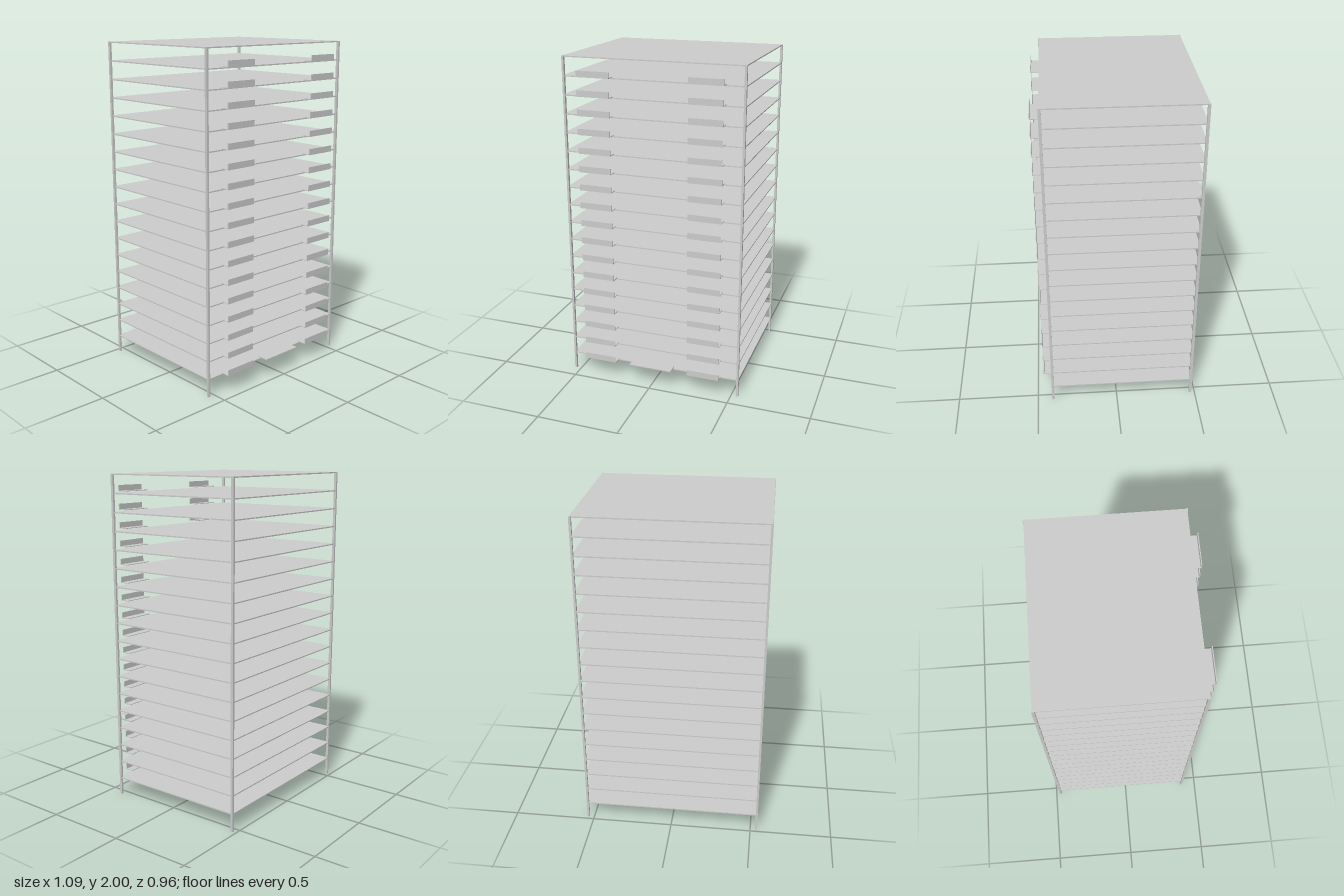
import * as THREE from 'three';

const FLOORS = 18;
const STEP = 2 / FLOORS;
const BACK = -0.477, FRONT = 0.408;

export function createModel() {
  const model = new THREE.Group();
  model.name = 'towerFrame';
  const material = new THREE.MeshStandardMaterial({ color: 0xcccccc, flatShading: true });

  // Box given by its minimum and maximum corners
  function box(name, min, max, parent = model) {
    const size = max.map((v, i) => v - min[i]);
    const mesh = new THREE.Mesh(new THREE.BoxGeometry(...size), material);
    mesh.position.set(...max.map((v, i) => (v + min[i]) / 2));
    mesh.name = name;
    parent.add(mesh);
    return mesh;
  }

  // Corner columns, standing slightly proud of the slabs
  for (const x of [-0.537, 0.537]) {
    for (const z of [-0.472, 0.404]) {
      box('cornerColumn', [x - 0.0065, 0, z - 0.008], [x + 0.0065, 2, z + 0.008]);
    }
  }

  // Floor slabs, the last one being the roof
  for (let k = 1; k <= FLOORS; k++) {
    const y = k * STEP;
    box(k === FLOORS ? 'roofSlab' : 'floorSlab', [-0.541, y - 0.007, BACK], [0.541, y, FRONT]);
  }

  // Two balconies on every floor: a thin deck with a front parapet
  for (let k = 1; k < FLOORS; k++) {
    const y = k * STEP + 0.003;
    for (const x of [-0.334, 0.332]) {
      const balcony = new THREE.Group();
      balcony.name = 'balcony';
      box('balconyDeck', [x - 0.1, y, FRONT], [x + 0.1, y + 0.004, 0.46], balcony);
      box('balconyParapet', [x - 0.1, y, 0.457], [x + 0.1, y + 0.037, 0.462], balcony);
      model.add(balcony);
    }
  }

  // Entrance canopy
  box('entranceCanopy', [-0.134, 0.125, FRONT], [0.134, 0.131, 0.479]);

  return model;
}
